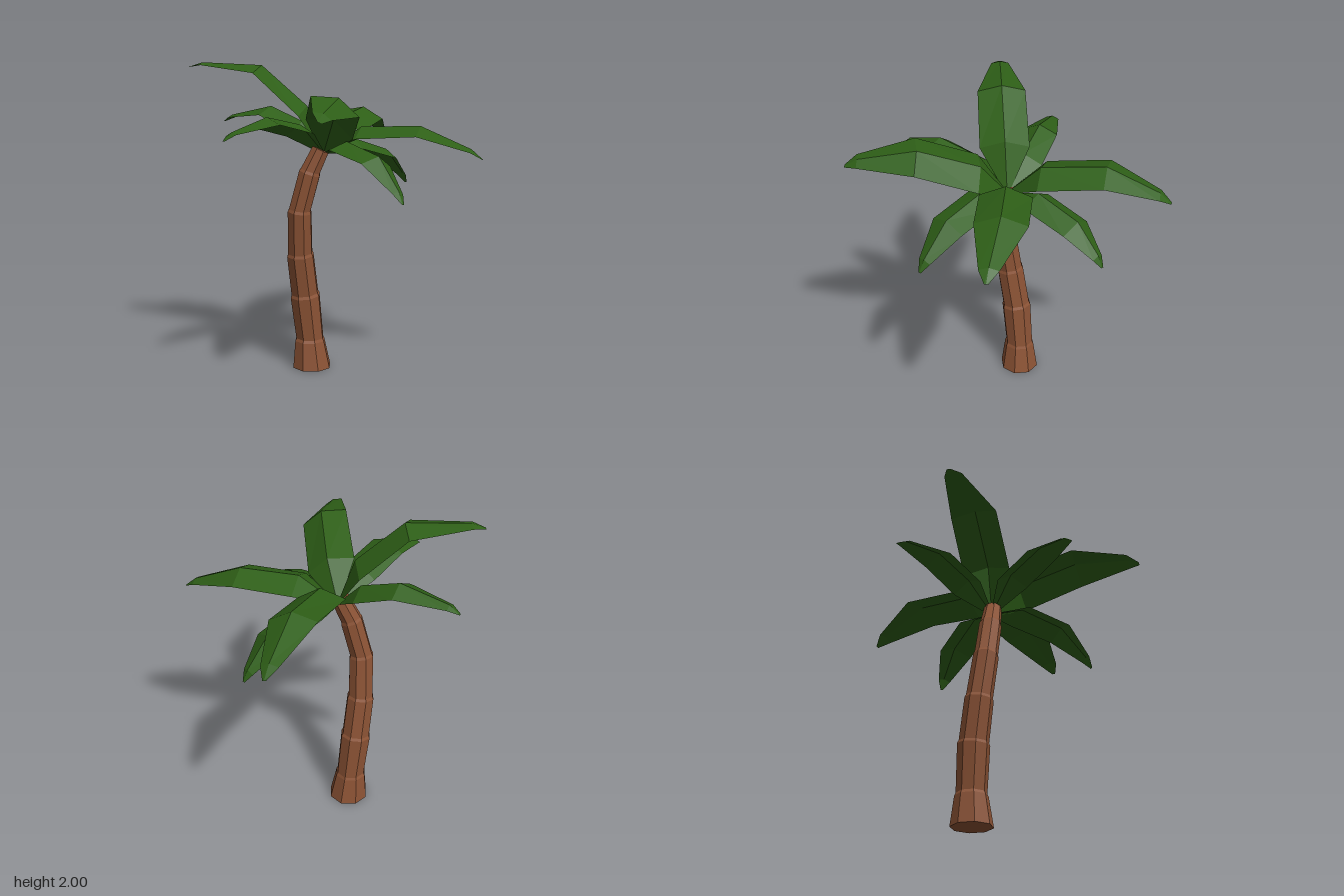
import * as THREE from 'three';

const V = (a) => new THREE.Vector3(...a);

// Skin a list of equal-length point rows with flat-shaded quads
function skin(rows, closed, material, name) {
  const positions = [];
  const index = [];
  const n = rows[0].length;
  rows.forEach((row) => row.forEach((p) => positions.push(p.x, p.y, p.z)));
  for (let r = 0; r < rows.length - 1; r++) {
    for (let i = 0; i < (closed ? n : n - 1); i++) {
      const a = r * n + i, b = r * n + ((i + 1) % n);
      index.push(a, a + n, b, b, a + n, b + n);
    }
  }
  const geometry = new THREE.BufferGeometry();
  geometry.setAttribute('position', new THREE.Float32BufferAttribute(positions, 3));
  geometry.setIndex(index);
  const flat = geometry.toNonIndexed();
  flat.computeVertexNormals();
  const mesh = new THREE.Mesh(flat, material);
  mesh.name = name;
  return mesh;
}

// Bent trunk: stacked octagonal segments, each with a small lip at its top
function createTrunk(material) {
  const joints = [
    [-0.185, 0, -0.057, 0.13], [-0.197, 0.19, -0.055, 0.102], [-0.222, 0.5, -0.031, 0.1],
    [-0.24, 0.78, 0.012, 0.09], [-0.23, 1.07, 0.052, 0.08], [-0.162, 1.32, 0.05, 0.072],
    [-0.095, 1.465, 0.035, 0.058],
  ];
  const sides = 8;
  const last = joints.length - 1;
  const rows = [];
  const ring = (center, axis, offset, radius) => {
    const tilt = new THREE.Quaternion().setFromUnitVectors(new THREE.Vector3(0, 1, 0), axis);
    rows.push(Array.from({ length: sides }, (_, i) => {
      const a = ((i + 0.25) / sides) * Math.PI * 2;
      return new THREE.Vector3(Math.cos(a) * radius, offset, Math.sin(a) * radius)
        .applyQuaternion(tilt).add(center);
    }));
  };
  joints.forEach((j, i) => {
    const center = V(j);
    const axis = i < 2 ? new THREE.Vector3(0, 1, 0)
      : V(joints[Math.min(i + 1, last)]).sub(V(joints[i - 1])).normalize();
    if (i === 0) ring(center, axis, 0, 0);
    if (i === 0 || i === last) {
      ring(center, axis, 0, j[3]);
    } else {
      // Step in above each joint
      ring(center, axis, -0.008, j[3]);
      ring(center, axis, 0.01, j[3] * 0.92);
    }
    if (i === last) ring(center, axis, 0, 0);
  });
  return skin(rows, true, material, 'trunk');
}

// Tent-folded frond: the ridge runs root, p1, p2, tip; a positive roll raises the
// edge on the right when looking outward
function createFrond({ p1, p2, tip, width, roll }, material, name) {
  const root = new THREE.Vector3(-0.08, 1.44, 0.02);
  const end = V(tip);
  const shoulder = V(p2).lerp(end, 0.82);
  shoulder.y += 0.025;
  const out = end.clone().sub(root).normalize();
  const side = out.clone().cross(new THREE.Vector3(0, 1, 0)).normalize()
    .applyAxisAngle(out, -THREE.MathUtils.degToRad(roll));
  const up = side.clone().cross(out);
  const section = (ridge, half, drop) => [1, 0, -1].map((s) => ridge.clone()
    .addScaledVector(side, s * half)
    .addScaledVector(up, -Math.abs(s) * drop));
  const rows = [
    section(root, 0.012, 0.005),
    section(V(p1), width, 0.065),
    section(V(p2), width * 0.97, 0.055),
    section(shoulder, width * 0.36, 0.018),
    section(end, width * 0.07, 0.002),
  ];
  return skin(rows, false, material, name);
}

export function createModel() {
  const bark = new THREE.MeshStandardMaterial({ color: 0x8c5335, flatShading: true });
  const green = new THREE.MeshStandardMaterial({
    color: 0x2e5f17, flatShading: true, side: THREE.DoubleSide,
  });
  const tree = new THREE.Group();
  tree.name = 'palmTree';
  tree.add(createTrunk(bark));

  const fronds = {
    backFrond: { p1: [-0.02, 1.65, -0.19], p2: [0.05, 1.7, -0.58], tip: [0.1, 1.5, -0.97], width: 0.155, roll: -10 },
    backLeftFrond: { p1: [0.07, 1.52, -0.18], p2: [0.24, 1.43, -0.42], tip: [0.35, 1.19, -0.575], width: 0.12, roll: 0 },
    leftFrond: { p1: [0.16, 1.61, 0.01], p2: [0.53, 1.62, 0.01], tip: [0.915, 1.43, 0.06], width: 0.16, roll: 0 },
    frontLeftFrond: { p1: [0.1, 1.53, 0.16], p2: [0.335, 1.465, 0.345], tip: [0.505, 1.21, 0.49], width: 0.12, roll: 8 },
    frontFrond: { p1: [0.02, 1.66, 0.17], p2: [0.14, 1.81, 0.53], tip: [0.14, 1.7, 0.965], width: 0.155, roll: 24 },
    frontRightFrond: { p1: [-0.18, 1.63, 0.2], p2: [-0.31, 1.69, 0.46], tip: [-0.48, 1.57, 0.725], width: 0.12, roll: -7 },
    rightFrond: { p1: [-0.18, 1.735, 0.04], p2: [-0.46, 1.985, 0.08], tip: [-0.92, 1.975, 0.13], width: 0.155, roll: 0 },
    backRightFrond: { p1: [-0.24, 1.63, -0.07], p2: [-0.48, 1.72, -0.16], tip: [-0.84, 1.61, -0.25], width: 0.12, roll: 0 },
  };
  const crown = new THREE.Group();
  crown.name = 'crown';
  for (const [name, data] of Object.entries(fronds)) crown.add(createFrond(data, green, name));
  tree.add(crown);
  return tree;
}
